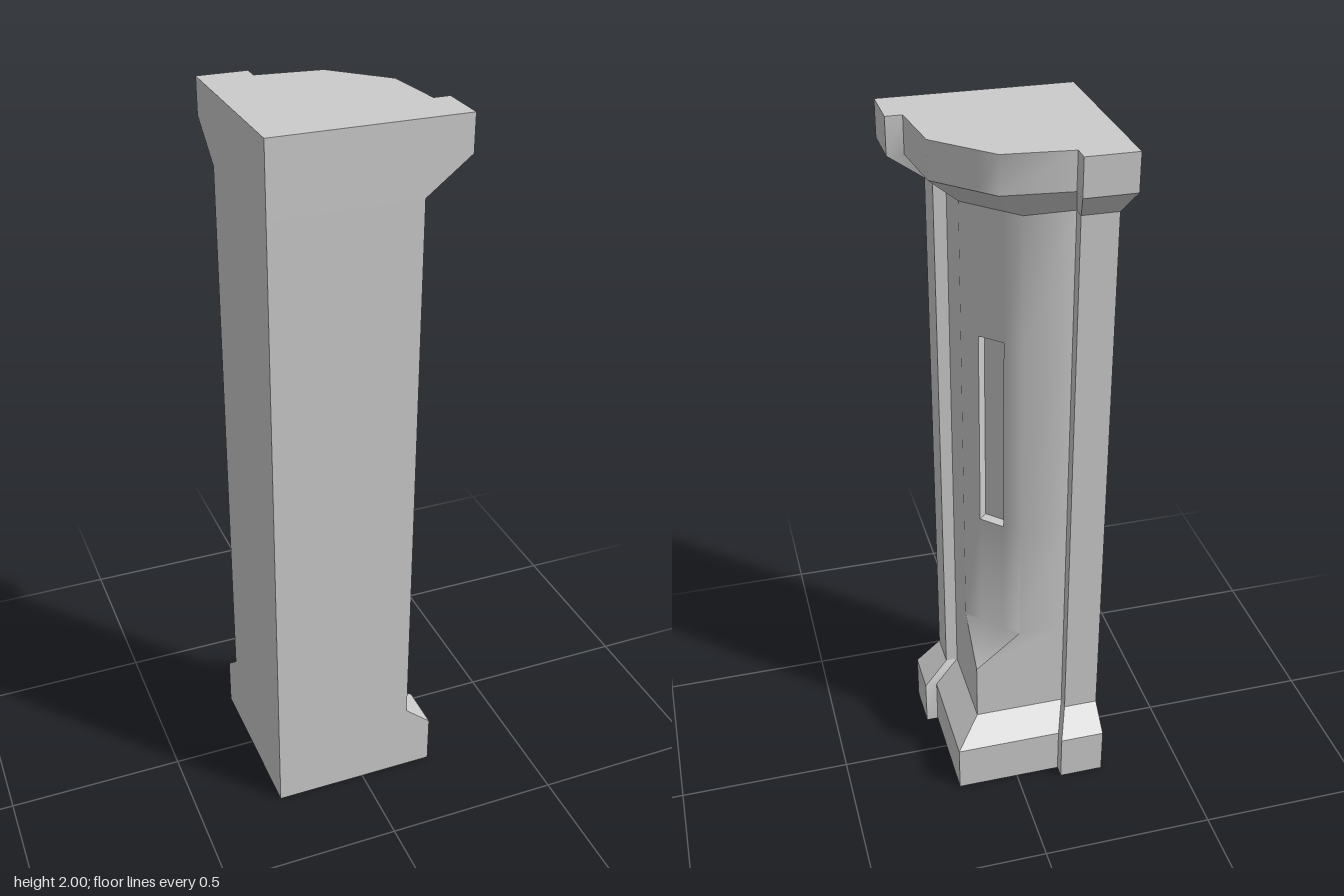
import * as THREE from 'three';
import { toCreasedNormals } from 'three/addons/utils/BufferGeometryUtils.js';

const BACK = 0.26; // the two flat outer walls sit at x = -BACK and z = +BACK
const SLOT_DEPTH = 0.03;

// Half of a cross-section, mirrored across the diagonal x = -z.
// p: pilaster reach, e: pilaster inner edge, m: recess beside it, (a, c): start of the chamfer
function ring([y, p, e, m, a, c]) {
  const s = 0.293; // the slot's edge along the chamfer
  const sx = a + (-c - a) * s, sz = c + (-a - c) * s;
  const half = [[p, BACK], [p, e], [m, e], [a, c], [sx, sz]];
  const mirrored = half.map(([x, z]) => [-z, -x]).reverse();
  return [[-BACK, BACK], ...half, ...mirrored].map(([x, z]) => new THREE.Vector3(x, y, z));
}
const SLOT_SIDE = 5; // the side of the ring between the slot's edges

function addTriangle(out, a, b, c) {
  if (new THREE.Triangle(a, b, c).getArea() < 1e-7) return;
  for (const v of [a, b, c]) out.push(v.x, v.y, v.z);
}

function addQuad(out, a, b, c, d) {
  addTriangle(out, a, b, c);
  addTriangle(out, a, c, d);
}

function loft(out, rings, skip = () => false) {
  for (let r = 0; r + 1 < rings.length; r++) {
    const lo = rings[r], hi = rings[r + 1];
    lo.forEach((v, i) => {
      const j = (i + 1) % lo.length;
      if (!skip(r, i)) addQuad(out, v, lo[j], hi[j], hi[i]);
    });
  }
}

// Flat end face of a ring
function addEnd(out, points, up) {
  const pts = points.filter((v, i) => i === 0 || v.distanceTo(points[i - 1]) > 1e-5);
  const flat = pts.map((v) => new THREE.Vector2(v.x, -v.z));
  for (const [a, b, c] of THREE.ShapeUtils.triangulateShape(flat, [])) {
    if (up) addTriangle(out, pts[a], pts[b], pts[c]);
    else addTriangle(out, pts[a], pts[c], pts[b]);
  }
}

function makeMesh(name, out, material) {
  const geometry = new THREE.BufferGeometry();
  geometry.setAttribute('position', new THREE.Float32BufferAttribute(out, 3));
  const mesh = new THREE.Mesh(toCreasedNormals(geometry, THREE.MathUtils.degToRad(45.5)), material);
  mesh.name = name;
  return mesh;
}

export function createModel() {
  const group = new THREE.Group();
  group.name = 'cornerColumn';
  const material = new THREE.MeshStandardMaterial({ color: 0xcccccc });

  const square = [0.14, 0.16, 0.105, 0.105, -0.105];
  const chamfered = [0.14, 0.16, 0.105, 0.105, 0.025];
  const plinth = [0.215, 0.13, 0.18, 0.18, -0.18];
  const cap = [0.262, 0.122, 0.217, 0.198, -0.06];

  // Base: square plinth with a sloped top
  const baseRings = [[0, ...plinth], [0.145, ...plinth], [0.21, ...square]].map(ring);
  const base = [];
  loft(base, baseRings);
  addEnd(base, baseRings[0], false);
  group.add(makeMesh('base', base, material));

  // Shaft: square foot running into a softly chamfered corner, open at the slot
  const shaftRings = [
    [0.21, ...square], [0.39, ...square], [0.5, ...chamfered],
    [0.865, ...chamfered], [1.445, ...chamfered], [1.805, ...chamfered],
  ].map(ring);
  const shaft = [];
  loft(shaft, shaftRings, (r, i) => r === 3 && i === SLOT_SIDE);
  group.add(makeMesh('shaft', shaft, material));

  // Slot: shallow recess sunk into the chamfer
  const [lo, hi] = [shaftRings[3], shaftRings[4]];
  const rim = [lo[SLOT_SIDE], lo[SLOT_SIDE + 1], hi[SLOT_SIDE + 1], hi[SLOT_SIDE]];
  const inward = new THREE.Vector3(-1, 0, 1).setLength(SLOT_DEPTH);
  const floor = rim.map((v) => v.clone().add(inward));
  const slot = [];
  rim.forEach((v, k) => {
    const n = (k + 1) % 4;
    addQuad(slot, v, rim[n], floor[n], floor[k]);
  });
  addQuad(slot, ...floor);
  group.add(makeMesh('slotRecess', slot, material));

  // Capital: flares out to a faceted block
  const capRings = [[1.805, ...chamfered], [1.9, ...cap], [2, ...cap]].map(ring);
  const capital = [];
  loft(capital, capRings);
  addEnd(capital, capRings[2], true);
  group.add(makeMesh('capital', capital, material));

  return group;
}
